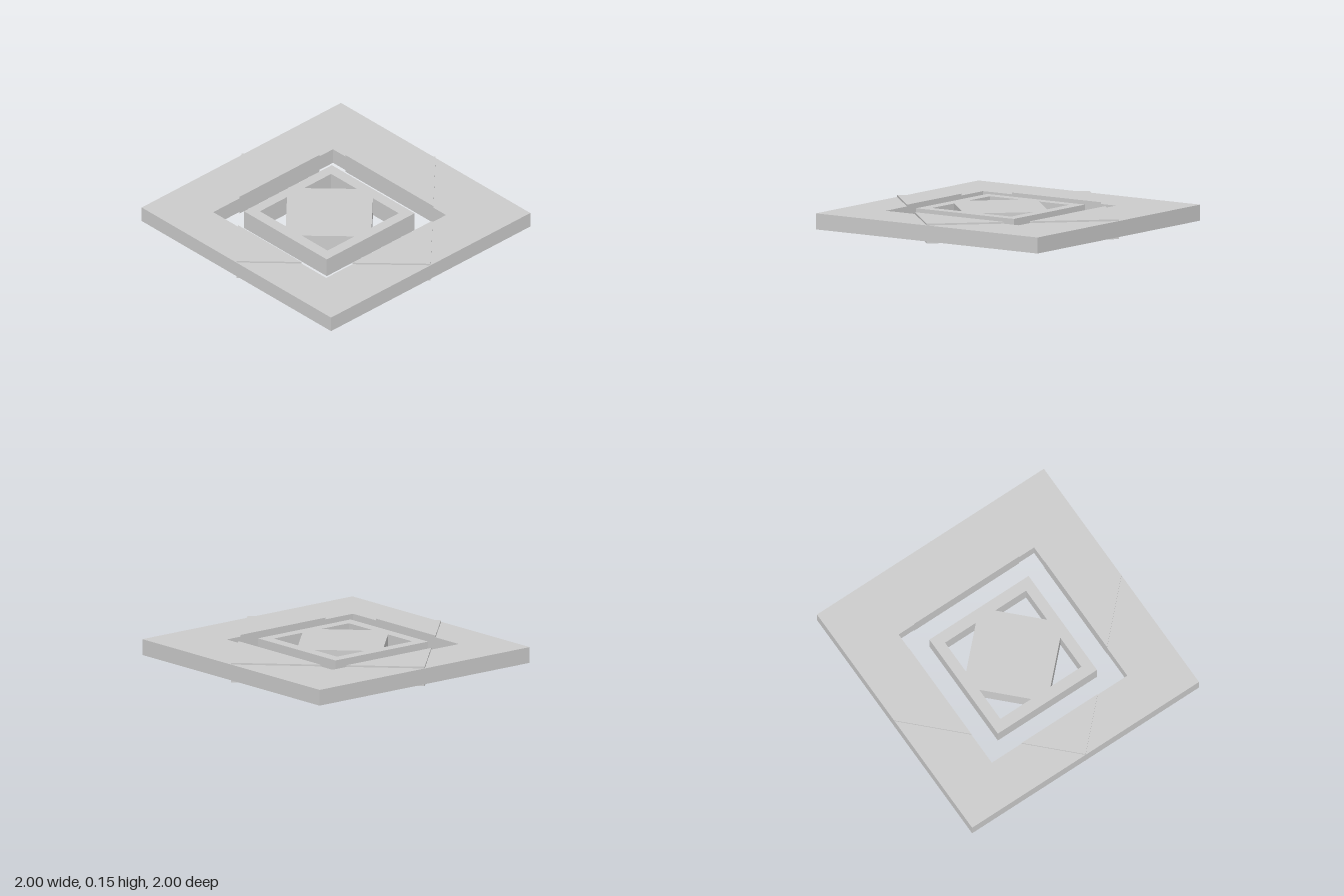
import * as THREE from 'three';
import { mergeGeometries } from 'three/addons/utils/BufferGeometryUtils.js';

const material = new THREE.MeshStandardMaterial({ color: 0xcccccc, flatShading: true, side: THREE.DoubleSide });

// Order a loop of [x, z] points for a shape drawn with its y along -z
function loop(points, clockwise) {
  const pts = points.map(([x, z]) => new THREE.Vector2(x, -z));
  if (THREE.ShapeUtils.isClockWise(pts) !== clockwise) pts.reverse();
  return pts;
}

// Upright strip of quads around a loop
function walls(pts, bottom, top) {
  const pos = [], uv = [], index = [];
  pts.forEach((a, i) => {
    const b = pts[(i + 1) % pts.length], n = i * 4;
    pos.push(a.x, bottom, -a.y, b.x, bottom, -b.y, b.x, top, -b.y, a.x, top, -a.y);
    uv.push(0, 0, 1, 0, 1, 1, 0, 1);
    index.push(n, n + 1, n + 2, n, n + 2, n + 3);
  });
  const g = new THREE.BufferGeometry();
  g.setAttribute('position', new THREE.Float32BufferAttribute(pos, 3));
  g.setAttribute('uv', new THREE.Float32BufferAttribute(uv, 2));
  g.setIndex(index);
  g.computeVertexNormals();
  return g;
}

// Flat-topped shell, open underneath, with optional holes
function shell(name, outline, holes, bottom, top) {
  const outer = loop(outline, false);
  const inner = holes.map((h) => loop(h, true));
  const shape = new THREE.Shape(outer);
  inner.forEach((h) => shape.holes.push(new THREE.Path(h)));
  const cap = new THREE.ShapeGeometry(shape).rotateX(-Math.PI / 2).translate(0, top, 0);
  const mesh = new THREE.Mesh(
    mergeGeometries([cap, ...[outer, ...inner].map((l) => walls(l, bottom, top))]), material);
  mesh.name = name;
  return mesh;
}

const rect = (x0, x1, z0, z1) => [[x0, z0], [x1, z0], [x1, z1], [x0, z1]];

export function createModel() {
  const group = new THREE.Group();
  group.name = 'squarePanel';
  const TOP = 0.146;
  const L = -0.665, R = 0.537, B = -0.597, F = 0.597; // opening edges

  // Outer frame with an off-centre opening
  group.add(shell('outerFrame', rect(-1, 1, -1, 1), [rect(L, R, B, F)], 0.015, 0.133));

  // Slightly raised triangles: the corners of a diamond cut by the opening
  group.add(shell('leftTriangle', [[1, 0], [R, 1 - R], [R, R - 1]], [], 0, TOP));
  group.add(shell('rightTriangle', [[-1, 0], [L, 1 + L], [L, -1 - L]], [], 0, TOP));
  group.add(shell('frontTriangle', [[0, 1], [1 - F, F], [F - 1, F]], [], 0, TOP));
  group.add(shell('backTriangle', [[0, -1], [1 + B, B], [-1 - B, B]], [], 0, TOP));

  // Inner square with a triangular hole in each corner
  const cx = -0.067, hx = 0.357, hz = 0.357, leg = 0.272;
  const holes = [];
  for (const sx of [-1, 1]) {
    for (const sz of [-1, 1]) {
      const x = cx + sx * hx, z = sz * hz;
      holes.push([[x, z], [x - sx * leg, z], [x, z - sz * leg]]);
    }
  }
  group.add(shell('innerSquare', rect(cx - 0.441, cx + 0.441, -0.437, 0.437), holes, 0, TOP));
  return group;
}
